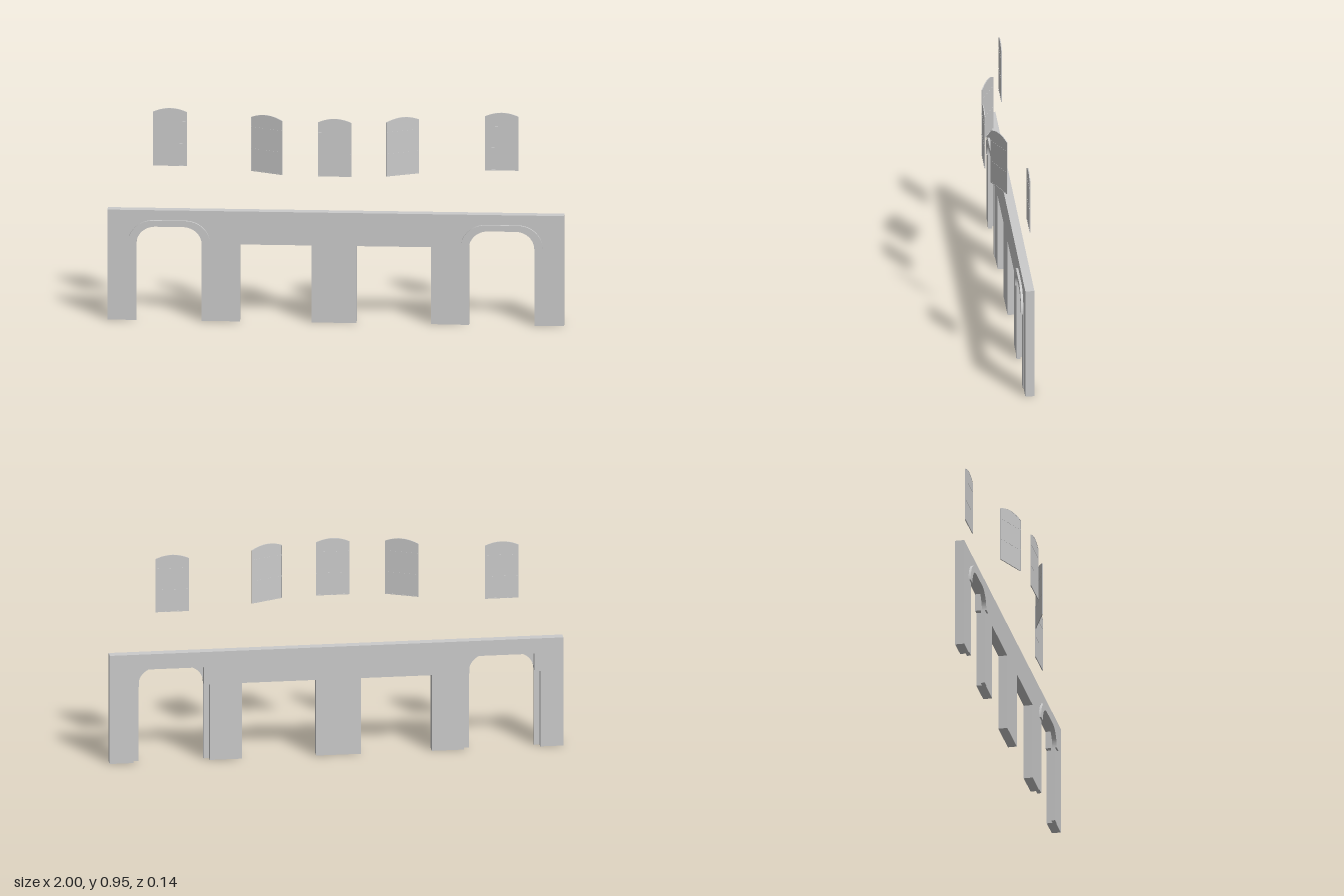
import * as THREE from 'three';

const material = new THREE.MeshStandardMaterial({ color: 0xcccccc, flatShading: true });

// Extrude a shape between two z values
function slab(name, shape, z0, z1) {
  const geo = new THREE.ExtrudeGeometry(shape, { depth: z1 - z0, bevelEnabled: false, curveSegments: 10 });
  geo.translate(0, 0, z0);
  const mesh = new THREE.Mesh(geo, material);
  mesh.name = name;
  return mesh;
}

function box(name, x0, x1, y0, y1, z0, z1) {
  const mesh = new THREE.Mesh(new THREE.BoxGeometry(x1 - x0, y1 - y0, z1 - z0), material);
  mesh.position.set((x0 + x1) / 2, (y0 + y1) / 2, (z0 + z1) / 2);
  mesh.name = name;
  return mesh;
}

const ARCH_X = [-0.73, 0.727];
const SPRING = 0.35;

// Wall outline, with stepped notches behind the arches and plain doorways between
function wall() {
  const pts = [[-1, 0.5], [-1, 0]];
  const archNotch = (c) => pts.push(
    [c - 0.168, 0], [c - 0.168, SPRING], [c - 0.143, SPRING], [c - 0.143, 0.43],
    [c + 0.143, 0.43], [c + 0.143, SPRING], [c + 0.168, SPRING], [c + 0.168, 0]);
  const doorNotch = (a, b) => pts.push([a, 0], [a, SPRING], [b, SPRING], [b, 0]);
  archNotch(ARCH_X[0]);
  doorNotch(-0.42, -0.107);
  doorNotch(0.09, 0.418);
  archNotch(ARCH_X[1]);
  pts.push([1, 0], [1, 0.5]);
  return slab('wall', new THREE.Shape(pts.map(([x, y]) => new THREE.Vector2(x, y))), -0.07, -0.03);
}

// Rounded arch trim standing on two posts
function archway(c) {
  const group = new THREE.Group();
  group.name = 'archway';
  const s = new THREE.Shape();
  s.moveTo(0.18, SPRING);
  s.absellipse(0.07, SPRING, 0.11, 0.105, 0, Math.PI / 2, false);
  s.absellipse(-0.07, SPRING, 0.11, 0.105, Math.PI / 2, Math.PI, false);
  s.lineTo(-0.143, SPRING);
  s.absellipse(-0.06, SPRING, 0.083, 0.078, Math.PI, Math.PI / 2, true);
  s.absellipse(0.06, SPRING, 0.083, 0.078, Math.PI / 2, 0, true);
  group.add(slab('archTrim', s, -0.04, -0.02));
  for (const side of [-1, 1]) {
    const a = side * 0.143, b = side * 0.18;
    group.add(box('archPost', Math.min(a, b), Math.max(a, b), 0, SPRING, -0.045, -0.027));
  }
  group.position.x = c;
  return group;
}

// Outline of a window with a shallow curved head
function windowShape(w, y0, side, crown) {
  const s = new THREE.Shape();
  s.moveTo(-w, y0);
  s.lineTo(w, y0);
  s.lineTo(w, side);
  s.quadraticCurveTo(0, 2 * crown - side, -w, side);
  s.closePath();
  return s;
}

function windowPanel(x, z, width, turn) {
  const group = new THREE.Group();
  group.name = 'window';
  const w = width / 2, t = 0.003;
  const frame = windowShape(w, 0.693, 0.938, 0.955);
  frame.holes.push(windowShape(w - t, 0.693 + t, 0.936, 0.952));
  group.add(slab('windowFrame', frame, -0.002, 0.002));
  group.add(slab('windowPane', windowShape(w - t / 2, 0.694, 0.937, 0.954), -0.001, 0.001));
  for (const y of [0.794, 0.892]) {
    group.add(box('windowBar', -w + t, w - t, y - 0.002, y + 0.002, -0.0017, 0.0017));
  }
  group.position.set(x, 0, z);
  group.rotation.y = turn;
  return group;
}

export function createModel() {
  const model = new THREE.Group();
  model.name = 'arcade';
  model.add(wall());
  for (const c of ARCH_X) model.add(archway(c));
  // Row of windows bowing forward in the middle
  for (const [x, z, width, turn] of [
    [-0.728, -0.068, 0.147, 0], [-0.299, 0.025, 0.152, -0.405], [0, 0.068, 0.147, 0],
    [0.296, 0.025, 0.152, 0.405], [0.725, -0.068, 0.147, 0],
  ]) model.add(windowPanel(x, z, width, turn));
  return model;
}
